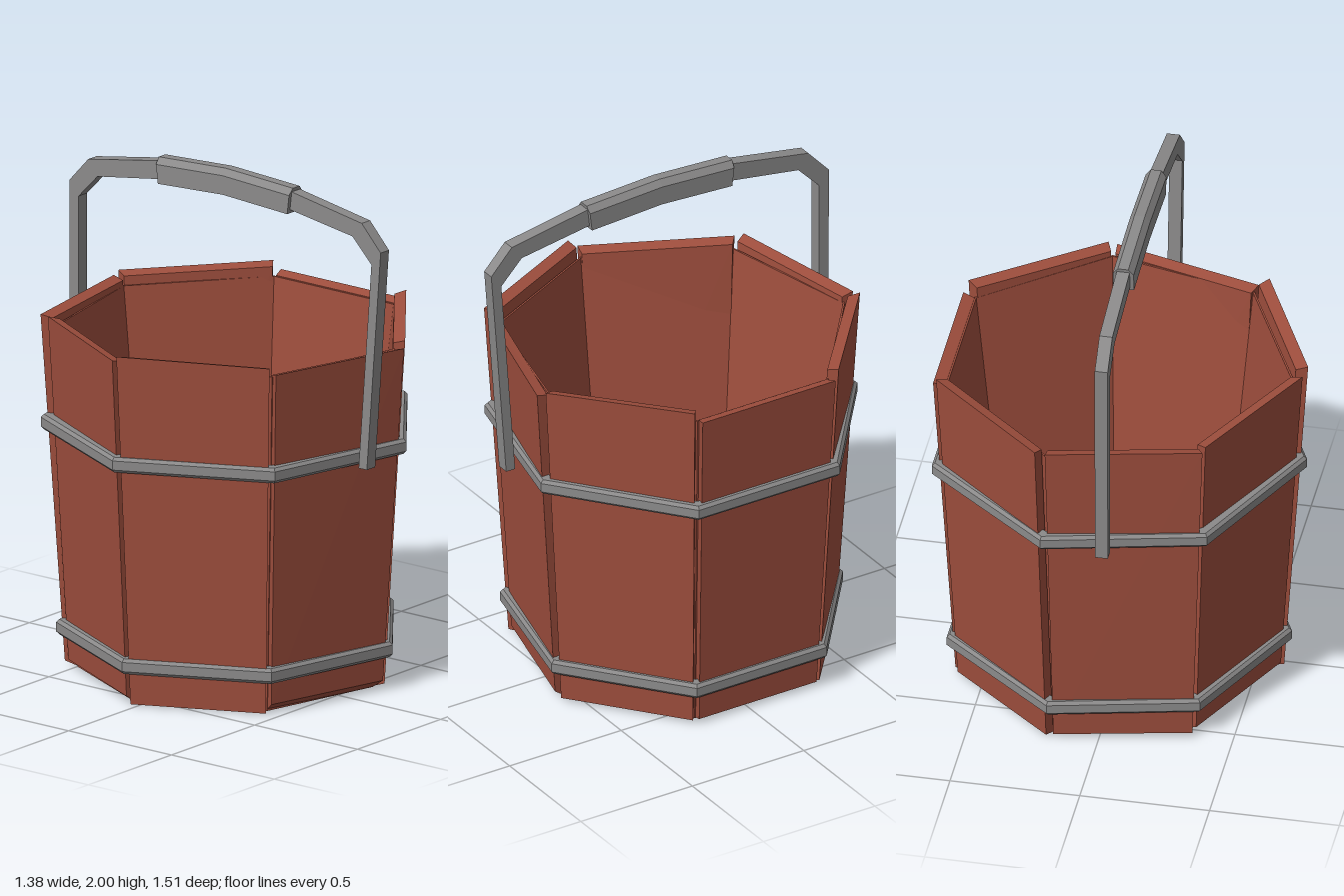
import * as THREE from 'three';

const SIDES = 7;
const STEP = (Math.PI * 2) / SIDES;
const CX = 0.04, CZ = -0.04; // axis of the tub

// hard-edged shading stored in the geometry
function faceted(geometry) {
  const g = geometry.index ? geometry.toNonIndexed() : geometry;
  g.computeVertexNormals();
  return g;
}

function part(name, geometry, material) {
  const mesh = new THREE.Mesh(faceted(geometry), material);
  mesh.name = name;
  return mesh;
}

// seven-sided turned form with one corner pointing to -x
function heptagonLathe(profile) {
  const points = profile.map(([r, y]) => new THREE.Vector2(r, y));
  return new THREE.LatheGeometry(points, SIDES, -Math.PI / 2).translate(CX, 0, CZ);
}

// stave: a box bent onto one side of the tub
// low / high: outward offset of each edge, with the top height there
function staveGeometry(index, { low, high, topLow, topHigh, bottom }) {
  const g = new THREE.BoxGeometry(1, 1, 1);
  const p = g.attributes.position;
  const a = index * STEP, c = Math.cos(a), s = Math.sin(a);
  for (let i = 0; i < p.count; i++) {
    const u = 0.5 - p.getX(i); // 0 = low-angle edge, 1 = high-angle edge
    const top = p.getY(i) > 0;
    const outer = p.getZ(i) > 0;
    const radius = top ? 0.71 : 0.63;
    const offset = THREE.MathUtils.lerp(low, high, u) * (top ? 1 : 0.5);
    const dist = radius * Math.cos(STEP / 2) + offset - (outer ? 0 : 0.045);
    const half = radius * Math.sin(STEP / 2) - (outer ? 0.01 : 0.022);
    const along = (u * 2 - 1) * half;
    const y = top ? THREE.MathUtils.lerp(topLow, topHigh, u) - (outer ? 0 : 0.012)
      : (outer ? bottom : 0.002);
    p.setXYZ(i, CX + c * dist - s * along, y, CZ + s * dist + c * along);
  }
  return g;
}

const STAVES = [
  { low: 0.015, high: 0.015, topLow: 1.36, topHigh: 1.36, bottom: 0.02 },
  { low: 0.012, high: 0.012, topLow: 1.40, topHigh: 1.38, bottom: 0.015 },
  { low: 0.025, high: 0.0, topLow: 1.36, topHigh: 1.36, bottom: 0.035 },
  { low: 0.03, high: 0.025, topLow: 1.395, topHigh: 1.40, bottom: 0.005 },
  { low: 0.008, high: -0.005, topLow: 1.375, topHigh: 1.385, bottom: 0.03 },
  { low: 0.026, high: 0.01, topLow: 1.385, topHigh: 1.38, bottom: 0.02 },
  { low: 0.028, high: 0.01, topLow: 1.39, topHigh: 1.395, bottom: 0.015 },
];

// bevelled band around the staves
function hoopGeometry(y, radius) {
  return heptagonLathe([
    [radius - 0.05, y - 0.03], [radius - 0.012, y - 0.03], [radius, y - 0.018],
    [radius, y + 0.018], [radius - 0.012, y + 0.03], [radius - 0.05, y + 0.03],
    [radius - 0.05, y - 0.03],
  ]);
}

export function createModel() {
  const group = new THREE.Group();
  group.name = 'bucket';
  const wood = new THREE.MeshStandardMaterial({ color: 0x9e4e3d });
  wood.name = 'red wood';
  const iron = new THREE.MeshStandardMaterial({ color: 0x8b8a8a });
  iron.name = 'grey iron';

  // inner lining with floor and underside
  group.add(part('lining', heptagonLathe([
    [0, 0], [0.59, 0], [0.678, 1.345], [0.67, 1.345], [0.52, 0.1], [0, 0.1],
  ]), wood));

  // staves
  const staves = new THREE.Group();
  staves.name = 'staves';
  STAVES.forEach((spec, i) => staves.add(part('stave', staveGeometry(i, spec), wood)));
  group.add(staves);

  // hoops
  group.add(part('upperHoop', hoopGeometry(0.967, 0.728), iron));
  group.add(part('lowerHoop', hoopGeometry(0.157, 0.67), iron));

  // bail handle, outlined in the z-y plane
  const outline = [
    [0.69, 0.94], [0.757, 1.81], [0.665, 1.91], [0.32, 1.97], [0, 1.985],
    [-0.32, 1.97], [-0.665, 1.91], [-0.757, 1.81], [-0.755, 0.94],
    [-0.712, 0.94], [-0.712, 1.755], [-0.62, 1.85], [-0.3, 1.9], [0, 1.92],
    [0.3, 1.9], [0.62, 1.85], [0.712, 1.755], [0.65, 0.94],
  ].map(([z, y]) => new THREE.Vector2(z, y));
  const bail = new THREE.ExtrudeGeometry(new THREE.Shape(outline), { depth: 0.05, bevelEnabled: false });
  bail.rotateY(-Math.PI / 2).translate(-0.01, 0, 0);
  group.add(part('handle', bail, iron));

  // grip with chamfered top, bowed along its length
  const section = [
    [-0.04, 1.9], [0.04, 1.9], [0.04, 1.975], [0.02, 2], [-0.02, 2], [-0.04, 1.975],
  ].map(([x, y]) => new THREE.Vector2(x, y));
  const grip = new THREE.ExtrudeGeometry(new THREE.Shape(section), { depth: 0.64, steps: 2, bevelEnabled: false });
  grip.translate(-0.035, 0, -0.32);
  const p = grip.attributes.position;
  for (let i = 0; i < p.count; i++) {
    const t = p.getZ(i) / 0.32;
    p.setY(i, p.getY(i) - 0.017 * t * t);
    p.setZ(i, p.getZ(i) + t * (p.getY(i) - 1.93) * 0.12);
  }
  group.add(part('grip', grip, iron));

  return group;
}
